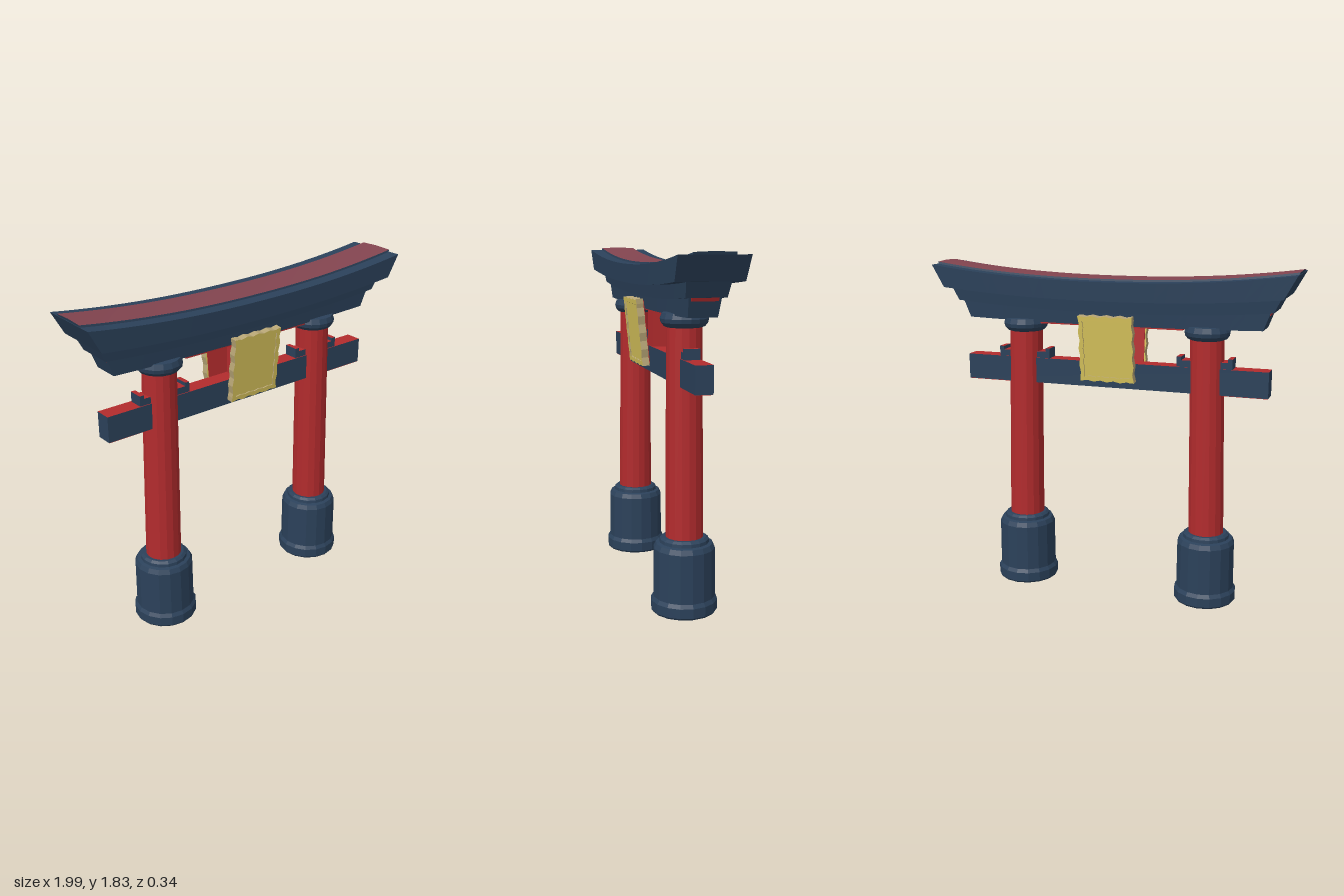
import * as THREE from 'three';

const mat = (name, color) => {
  const m = new THREE.MeshStandardMaterial({ color });
  m.name = name;
  return m;
};

export function createModel() {
  const navy = mat('navy', 0x2b415a);
  const red = mat('red', 0xb22b2d);
  const maroon = mat('maroon', 0x82444f);
  const gold = mat('gold', 0xd8c45c);
  const tan = mat('tan', 0xb6a475);

  const model = new THREE.Group();
  model.name = 'shrineGate';

  const add = (parent, name, geometry, material, x = 0, y = 0, z = 0) => {
    const mesh = new THREE.Mesh(geometry, material);
    mesh.name = name;
    mesh.position.set(x, y, z);
    parent.add(mesh);
    return mesh;
  };
  const box = (w, h, d) => new THREE.BoxGeometry(w, h, d);
  // Navy box sides with a chosen top and bottom
  const capped = (top, bottom) => [navy, navy, top, bottom, navy, navy];

  // Faceted shading without touching the material
  const faceted = (geometry) => {
    const g = geometry.toNonIndexed();
    g.computeVertexNormals();
    return g;
  };
  const lathe = (points) =>
    faceted(new THREE.LatheGeometry(points.map(([r, y]) => new THREE.Vector2(r, y)), 16));

  // Beam that curves upward and whose ends lean outward.
  // lower / upper: [half length, middle height, rise at the ends, half depth]
  const curvedBeam = (lower, upper, ridge = 0) => {
    const g = new THREE.BoxGeometry(2, 1, 2, 28, 1, 2);
    const p = g.attributes.position;
    for (let i = 0; i < p.count; i++) {
      const t = p.getX(i), s = p.getZ(i), isTop = p.getY(i) > 0;
      const [len, mid, rise, depth] = isTop ? upper : lower;
      const crown = isTop ? ridge * (1 - Math.abs(s)) : 0;
      p.setXYZ(i, t * len, mid + rise * Math.abs(t) ** 2.2 + crown, s * depth);
    }
    g.computeVertexNormals();
    return g;
  };

  // Roof: three stepped beams and a raised strip along the top
  const roof = new THREE.Group();
  roof.name = 'roof';
  model.add(roof);
  add(roof, 'lowerRoofBeam',
    curvedBeam([0.82, 1.513, 0.012, 0.073], [0.86, 1.6, 0.03, 0.08]), capped(navy, red));
  add(roof, 'soffitStrip', box(0.8, 0.008, 0.14), red, 0, 1.511, 0);
  add(roof, 'endTrim',
    curvedBeam([0.852, 1.572, 0.03, 0.066], [0.861, 1.594, 0.03, 0.068]), red);
  add(roof, 'middleRoofBeam',
    curvedBeam([0.875, 1.583, 0.037, 0.1], [0.92, 1.67, 0.04, 0.11]), navy);
  add(roof, 'upperRoofBeam',
    curvedBeam([0.93, 1.652, 0.043, 0.168], [0.996, 1.752, 0.063, 0.172]), navy);
  add(roof, 'roofStrip',
    curvedBeam([0.985, 1.735, 0.062, 0.106], [0.997, 1.762, 0.064, 0.1], 0.004),
    capped(maroon, navy));

  // Crossbeam: red along the top and under both ends
  add(model, 'crossbeam', box(1.71, 0.139, 0.09), capped(red, navy), 0, 1.24, 0);

  // Posts with stone feet, collars and wedges
  const footGeo = lathe([[0, 0], [0.165, 0], [0.172, 0.01], [0.172, 0.06], [0.16, 0.08],
    [0.158, 0.335], [0.146, 0.36], [0.128, 0.365], [0.126, 0.382], [0.112, 0.393], [0, 0.393]]);
  const collarGeo = lathe([[0.085, 1.455], [0.104, 1.463], [0.118, 1.48], [0.122, 1.5],
    [0.112, 1.528], [0, 1.532]]);
  const postGeo = faceted(new THREE.CylinderGeometry(0.09, 0.097, 1.12, 16));
  for (const side of [1, -1]) {
    const support = new THREE.Group();
    support.name = side > 0 ? 'leftSupport' : 'rightSupport';
    model.add(support);
    add(support, 'foot', footGeo, navy, side * 0.537);
    add(support, 'post', postGeo, red, side * 0.526, 0.93).rotation.z = side * 0.018;
    add(support, 'collar', collarGeo, navy, side * 0.517);
    add(support, 'wedge', box(0.3, 0.04, 0.08), capped(red, navy), side * 0.513, 1.325);
    add(support, 'endInlay', box(0.24, 0.004, 0.086), red, side * 0.732, 1.17);
    for (const end of [1, -1]) {
      add(support, 'wedgeTip', box(0.025, 0.022, 0.08), capped(red, navy),
        side * 0.513 + end * 0.1375, 1.353);
    }
  }

  // Short strut between crossbeam and roof
  add(model, 'centreStrut', box(0.11, 0.23, 0.08), red, 0, 1.41, 0);

  // Plaque with a wavy carved frame, one on each face
  const wavyLoop = (w, h, amp) => {
    const corners = [[-w, -h], [w, -h], [w, h], [-w, h]];
    const points = [];
    const steps = 16;
    corners.forEach(([x0, y0], k) => {
      const [x1, y1] = corners[(k + 1) % 4];
      const len = Math.hypot(x1 - x0, y1 - y0);
      for (let i = 0; i < steps; i++) {
        const t = i / steps;
        const out = amp * Math.cos(t * Math.PI * 8);
        points.push(new THREE.Vector2(
          x0 + (x1 - x0) * t + (out * (y1 - y0)) / len,
          y0 + (y1 - y0) * t - (out * (x1 - x0)) / len));
      }
    });
    return points;
  };
  const frameShape = new THREE.Shape(wavyLoop(0.149, 0.176, 0.004));
  frameShape.holes.push(new THREE.Path(wavyLoop(0.126, 0.152, 0.003).reverse()));
  const frameGeo = new THREE.ExtrudeGeometry(frameShape, { depth: 0.038, bevelEnabled: false });
  for (const side of [1, -1]) {
    const turn = new THREE.Group();
    turn.name = side > 0 ? 'frontPlaque' : 'backPlaque';
    turn.rotation.y = side > 0 ? 0 : Math.PI;
    model.add(turn);
    const plaque = new THREE.Group();
    plaque.name = 'plaque';
    plaque.position.set(0, 1.397, 0.1);
    plaque.rotation.x = 0.1;
    turn.add(plaque);
    add(plaque, 'plaqueFrame', frameGeo, [gold, tan]);
    add(plaque, 'plaquePanel', box(0.27, 0.32, 0.026), gold, 0, 0, 0.018);
    add(plaque, 'plaqueBacking', box(0.285, 0.335, 0.006), red, 0, 0, -0.002);
  }

  return model;
}
